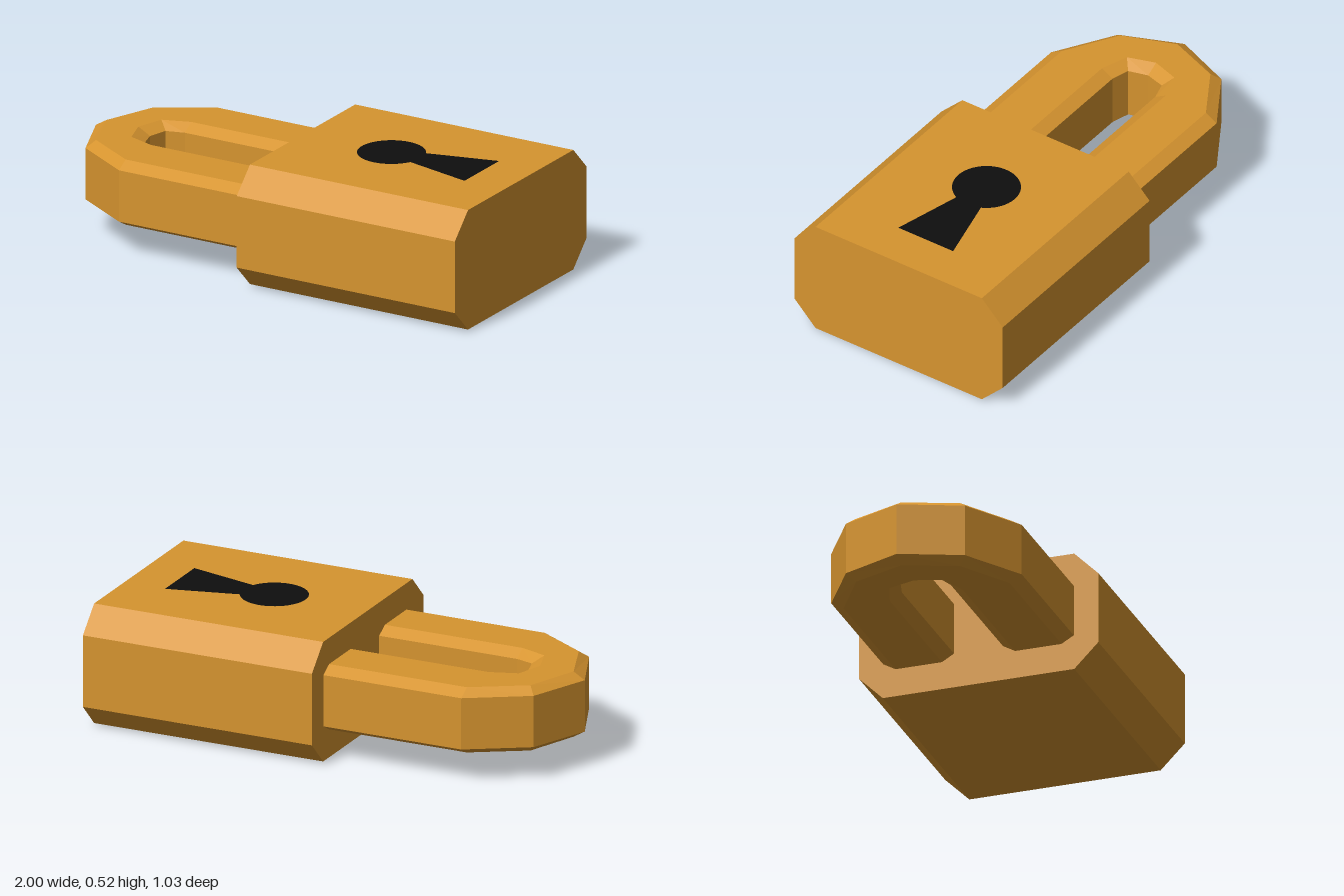
import * as THREE from 'three';

export function createModel() {
  const brass = new THREE.MeshStandardMaterial({ color: 0xd6942f, flatShading: true });
  brass.name = 'brass';
  const black = new THREE.MeshStandardMaterial({ color: 0x0e0e0e });
  black.name = 'black';

  const model = new THREE.Group();
  model.name = 'padlock';
  const add = (name, geometry, material) => {
    const mesh = new THREE.Mesh(geometry, material);
    mesh.name = name;
    model.add(mesh);
    return mesh;
  };

  // Body: a chamfered block running along x
  const W = 0.513, H = 0.513, C = 0.103;
  const section = new THREE.Shape([
    [-W + C, 0], [W - C, 0], [W, C], [W, H - C],
    [W - C, H], [-W + C, H], [-W, H - C], [-W, C],
  ].map(([x, y]) => new THREE.Vector2(x, y)));
  const body = new THREE.ExtrudeGeometry(section, { depth: 1.027, bevelEnabled: false });
  body.rotateY(Math.PI / 2);
  add('body', body, brass).position.x = -0.027;

  // Shackle: four nested outlines [x, z] from one leg to the tip, then mirrored
  const outlines = {
    outer: [[-0.02, 0.408], [-0.645, 0.408], [-0.895, 0.255], [-1, 0]],
    outerRim: [[-0.02, 0.355], [-0.645, 0.355], [-0.865, 0.222], [-0.95, 0]],
    innerRim: [[-0.02, 0.157], [-0.645, 0.157], [-0.762, 0.117], [-0.8, 0]],
    inner: [[-0.02, 0.105], [-0.645, 0.105], [-0.722, 0.083], [-0.745, 0]],
  };
  const ring = [
    ['outer', 0.37], ['outerRim', 0.4], ['innerRim', 0.4], ['inner', 0.37],
    ['inner', 0.15], ['innerRim', 0.12], ['outerRim', 0.12], ['outer', 0.15],
  ];
  const positions = [], index = [], n = ring.length;
  for (let i = 0; i < 7; i++) {
    for (const [line, y] of ring) {
      const [x, z] = outlines[line][i < 4 ? i : 6 - i];
      positions.push(x, y, i < 4 ? z : -z);
    }
  }
  for (let i = 0; i < 6; i++) {
    for (let j = 0; j < n; j++) {
      const k = (j + 1) % n;
      const a = i * n + j, b = i * n + k, c = b + n, d = a + n;
      index.push(a, b, c, a, c, d);
    }
  }
  const shackle = new THREE.BufferGeometry();
  shackle.setAttribute('position', new THREE.Float32BufferAttribute(positions, 3));
  shackle.setIndex(index);
  const flatShackle = shackle.toNonIndexed();
  flatShackle.computeVertexNormals();
  add('shackle', flatShackle, brass);

  // Keyhole: a round hole with a flared slot, laid on the top face
  const keyShape = new THREE.Shape();
  keyShape.absarc(0.39, 0, 0.139, 0.45, Math.PI * 2 - 0.45, false);
  keyShape.lineTo(0.815, -0.135);
  keyShape.lineTo(0.815, 0.135);
  keyShape.closePath();
  const keyhole = new THREE.ShapeGeometry(keyShape, 32);
  keyhole.rotateX(-Math.PI / 2);
  add('keyhole', keyhole, black).position.set(0, H + 0.003, -0.003);

  return model;
}
